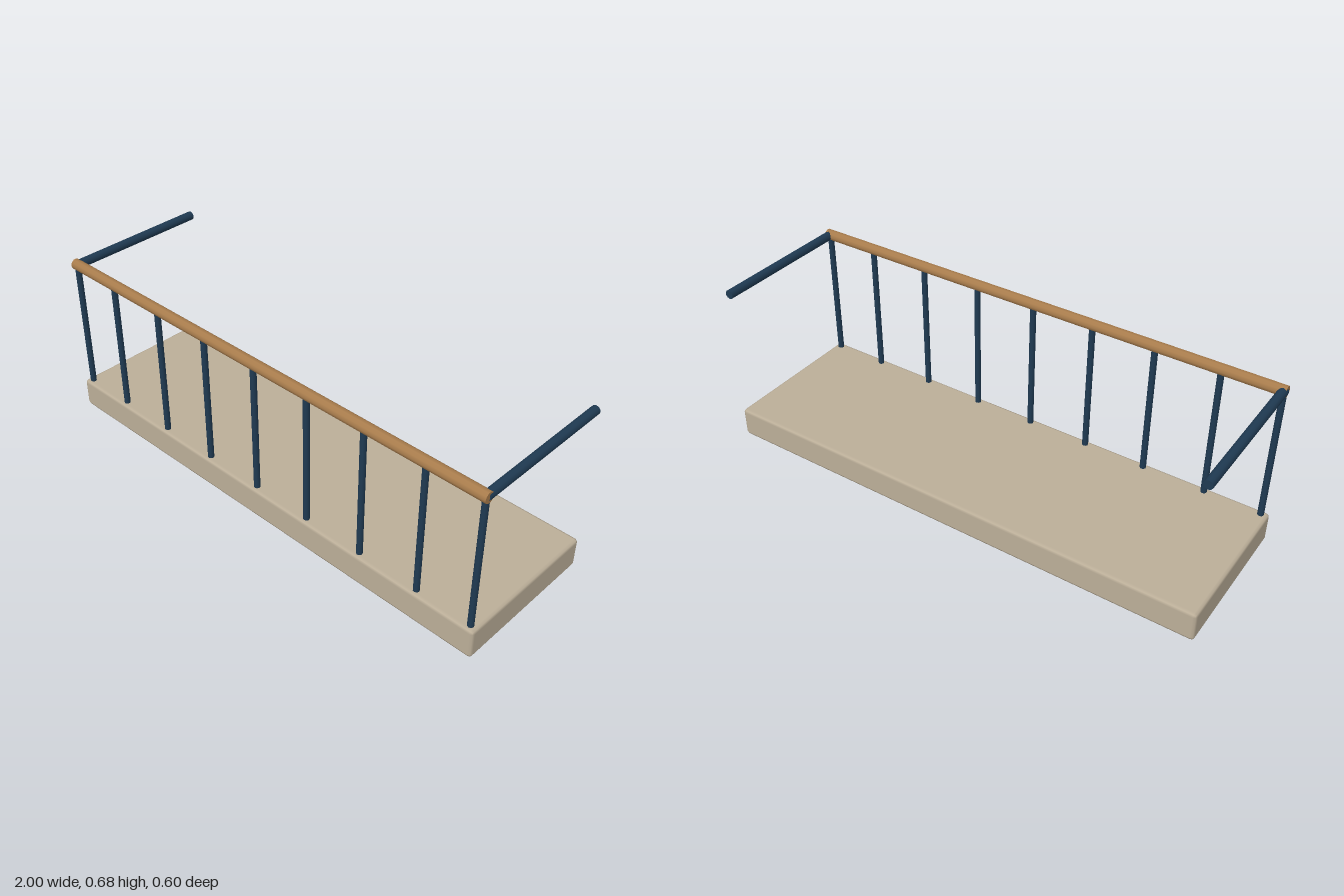
import * as THREE from 'three';
import { RoundedBoxGeometry } from 'three/addons/geometries/RoundedBoxGeometry.js';

export function createModel() {
  const model = new THREE.Group();
  model.name = 'balcony';
  const stone = new THREE.MeshStandardMaterial({ color: 0xbbae98 });
  const metal = new THREE.MeshStandardMaterial({ color: 0x1f3a52 });
  const wood = new THREE.MeshStandardMaterial({ color: 0xa87c4c });

  const railY = 0.661, frontZ = 0.276, slabTop = 0.12, sideX = 0.972;

  // Round bar running along one axis, centred on the given point
  function bar(name, radius, length, axis, material, x, y, z) {
    const geometry = new THREE.CylinderGeometry(radius, radius, length, 10);
    if (axis === 'x') geometry.rotateZ(Math.PI / 2);
    if (axis === 'z') geometry.rotateX(Math.PI / 2);
    const mesh = new THREE.Mesh(geometry, material);
    mesh.name = name;
    mesh.position.set(x, y, z);
    model.add(mesh);
  }

  // Floor slab with bevelled edges
  const slab = new THREE.Mesh(new RoundedBoxGeometry(2, slabTop, 0.6, 1, 0.013), stone);
  slab.name = 'floorSlab';
  slab.position.y = slabTop / 2;
  model.add(slab);

  // Front posts: even spacing inside, corner posts pulled in from the ends
  for (let i = -4; i <= 4; i++) {
    const x = THREE.MathUtils.clamp(i * 0.25, -sideX, sideX);
    const bottom = slabTop - 0.01;
    bar('post', 0.012, railY - bottom, 'y', metal, x, (railY + bottom) / 2, frontZ);
  }

  // Wooden handrail across the front
  bar('frontHandrail', 0.0215, 1.968, 'x', wood, 0, railY, frontZ);

  // Side rails running back to the wall
  for (const side of [-1, 1]) {
    bar(side > 0 ? 'leftSideRail' : 'rightSideRail', 0.0175, frontZ + 0.3, 'z', metal,
      side * sideX, railY, (frontZ - 0.3) / 2);
  }
  return model;
}
